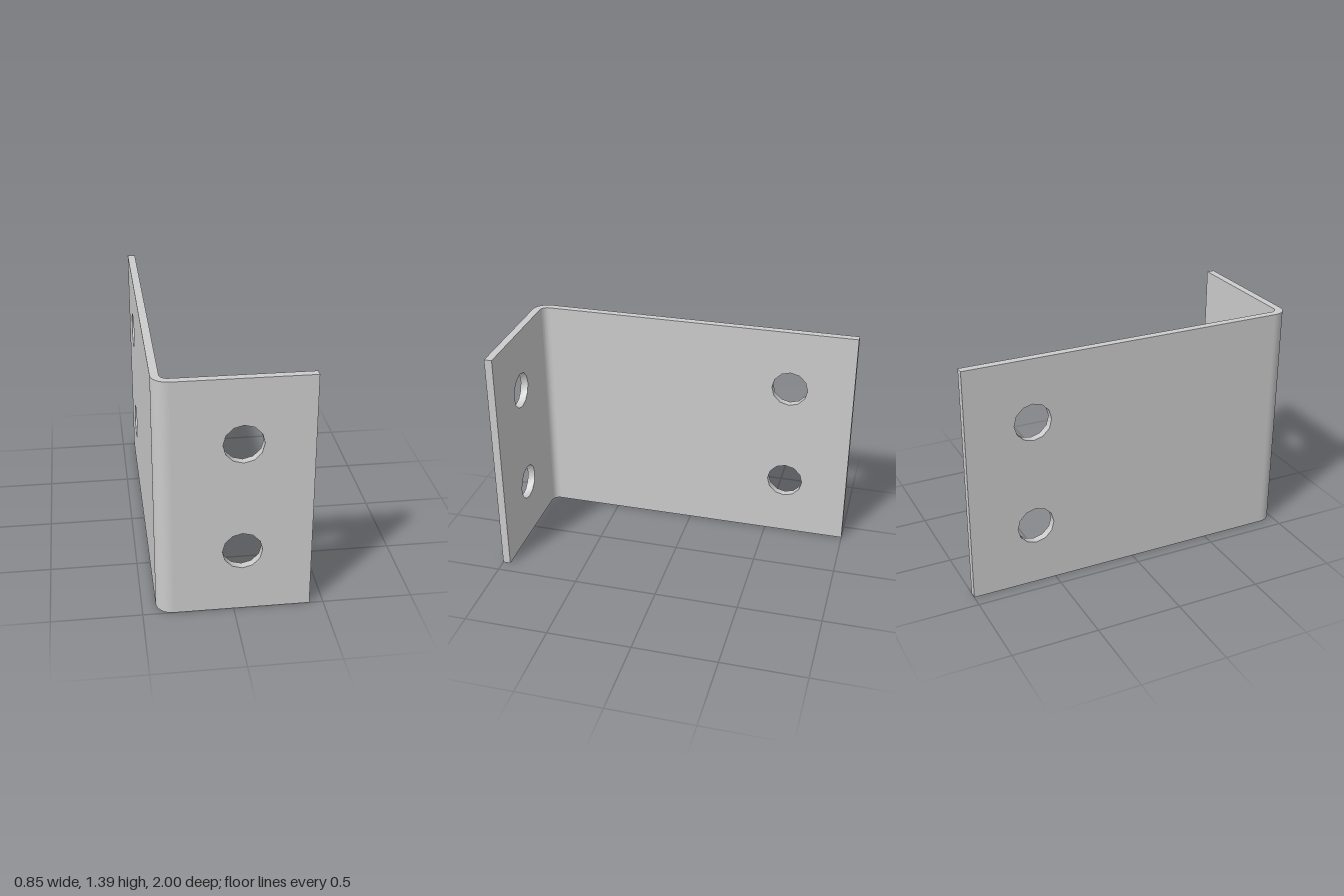
import * as THREE from 'three';
import { toCreasedNormals } from 'three/addons/utils/BufferGeometryUtils.js';

const H = 1.386;         // height
const T = 0.046;         // sheet thickness
const X = 0.423;         // half width
const R = 0.092;         // outer bend radius
const HOLE_R = 0.109;
const HOLE_Y = [0.371, 1.016];

const material = new THREE.MeshStandardMaterial({ color: 0xcccccc });

function extrude(shape, depth, curveSegments) {
  const geo = new THREE.ExtrudeGeometry(shape, { depth, curveSegments, bevelEnabled: false });
  return toCreasedNormals(geo, 0.6);
}

// Upright sheet from u0 to u1 with two twelve-sided holes at u = holeU
function plate(u0, u1, holeU) {
  const shape = new THREE.Shape([
    new THREE.Vector2(u0, 0), new THREE.Vector2(u1, 0),
    new THREE.Vector2(u1, H), new THREE.Vector2(u0, H),
  ]);
  for (const y of HOLE_Y) {
    shape.holes.push(new THREE.Path().absarc(holeU, y, HOLE_R, 0, Math.PI * 2));
  }
  return extrude(shape, T, 6);
}

export function createModel() {
  const group = new THREE.Group();
  group.name = 'angleBracket';
  const add = (name, geo) => {
    const mesh = new THREE.Mesh(geo, material);
    mesh.name = name;
    group.add(mesh);
  };

  // Short flange facing the front
  add('frontFlange', plate(-X + R, X, 0.045).translate(0, 0, 1 - T));

  // Long flange running to the back (u becomes -z)
  add('sideFlange', plate(-1 + R, 1, 0.612).rotateY(Math.PI / 2).translate(-X, 0, 0));

  // Rounded corner: quarter ring extruded upwards
  const cx = -X + R, cy = -1 + R;
  const ring = new THREE.Shape();
  ring.absarc(cx, cy, R, Math.PI, Math.PI * 1.5, false);
  ring.absarc(cx, cy, R - T, Math.PI * 1.5, Math.PI, true);
  add('bend', extrude(ring, H, 6).rotateX(-Math.PI / 2));

  return group;
}
